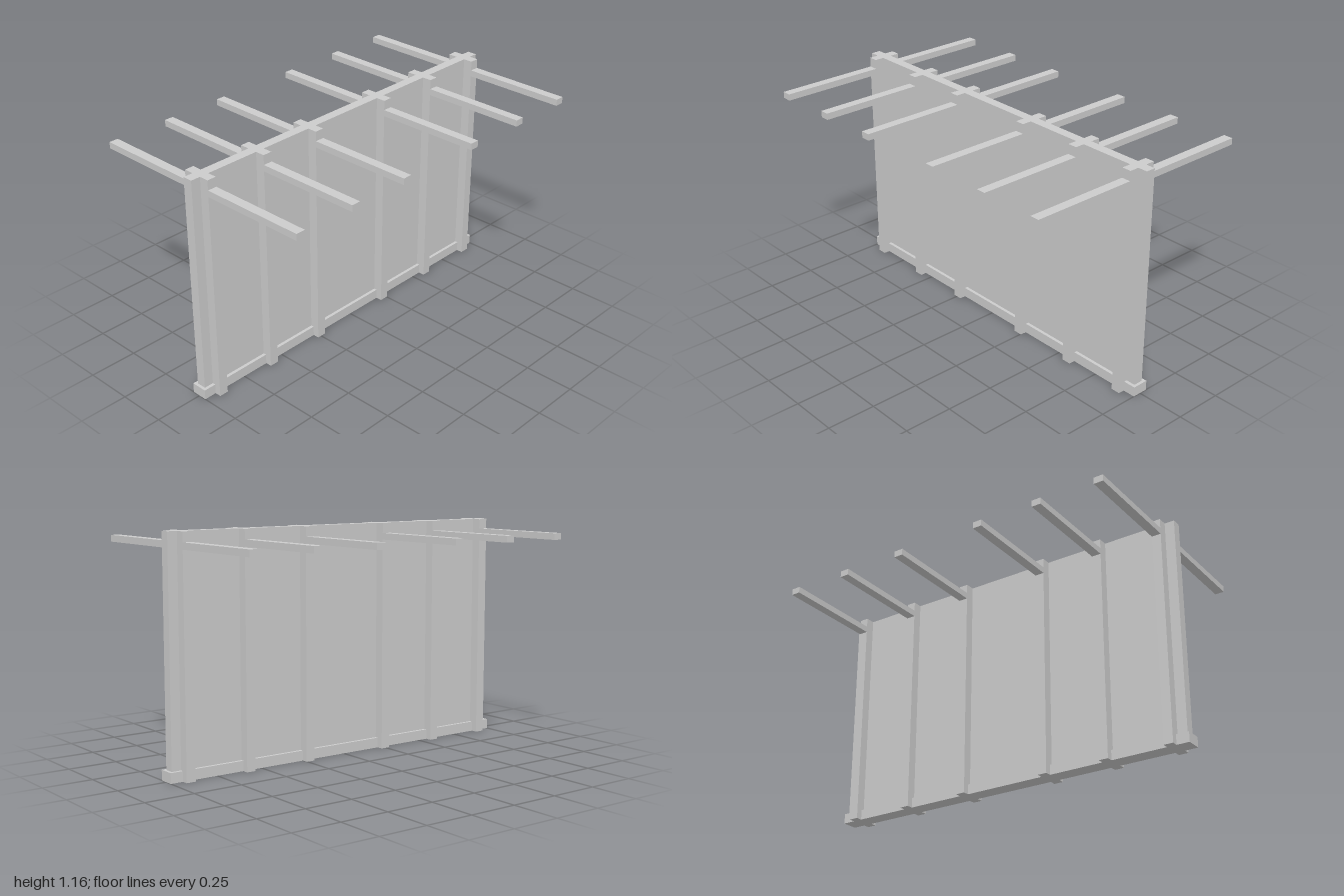
import * as THREE from 'three';

export function createModel() {
  const model = new THREE.Group();
  const material = new THREE.MeshStandardMaterial({ color: 0xcccccc, flatShading: true });

  // Box given by its centre in x and z, its bottom and its top
  function box(name, x, z, bottom, top, width, depth, parent = model) {
    const mesh = new THREE.Mesh(new THREE.BoxGeometry(width, top - bottom, depth), material);
    mesh.name = name;
    mesh.position.set(x, (bottom + top) / 2, z);
    parent.add(mesh);
  }

  const height = 1.157;
  const postHalf = 0.074, panelHalf = 0.025, armEnd = 0.617, thickness = 0.048;

  // Wall standing on its base rail
  box('baseRail', 0, 0, 0, 0.051, 0.083, 2);
  box('wallPanel', 0, 0, 0.051, height, panelHalf * 2, 1.97);

  // Post pairs with a horizontal arm on each side
  for (const z of [-0.911, -0.579, -0.23, 0.246, 0.579, 0.911]) {
    const frame = new THREE.Group();
    frame.name = 'supportFrame';
    model.add(frame);
    for (const side of [-1, 1]) {
      box('post', side * (postHalf + panelHalf) / 2, z, 0, height,
        postHalf - panelHalf, thickness, frame);
      box('arm', side * (armEnd + postHalf) / 2, z, 1.075, 1.108,
        armEnd - postHalf, thickness, frame);
    }
  }
  return model;
}
